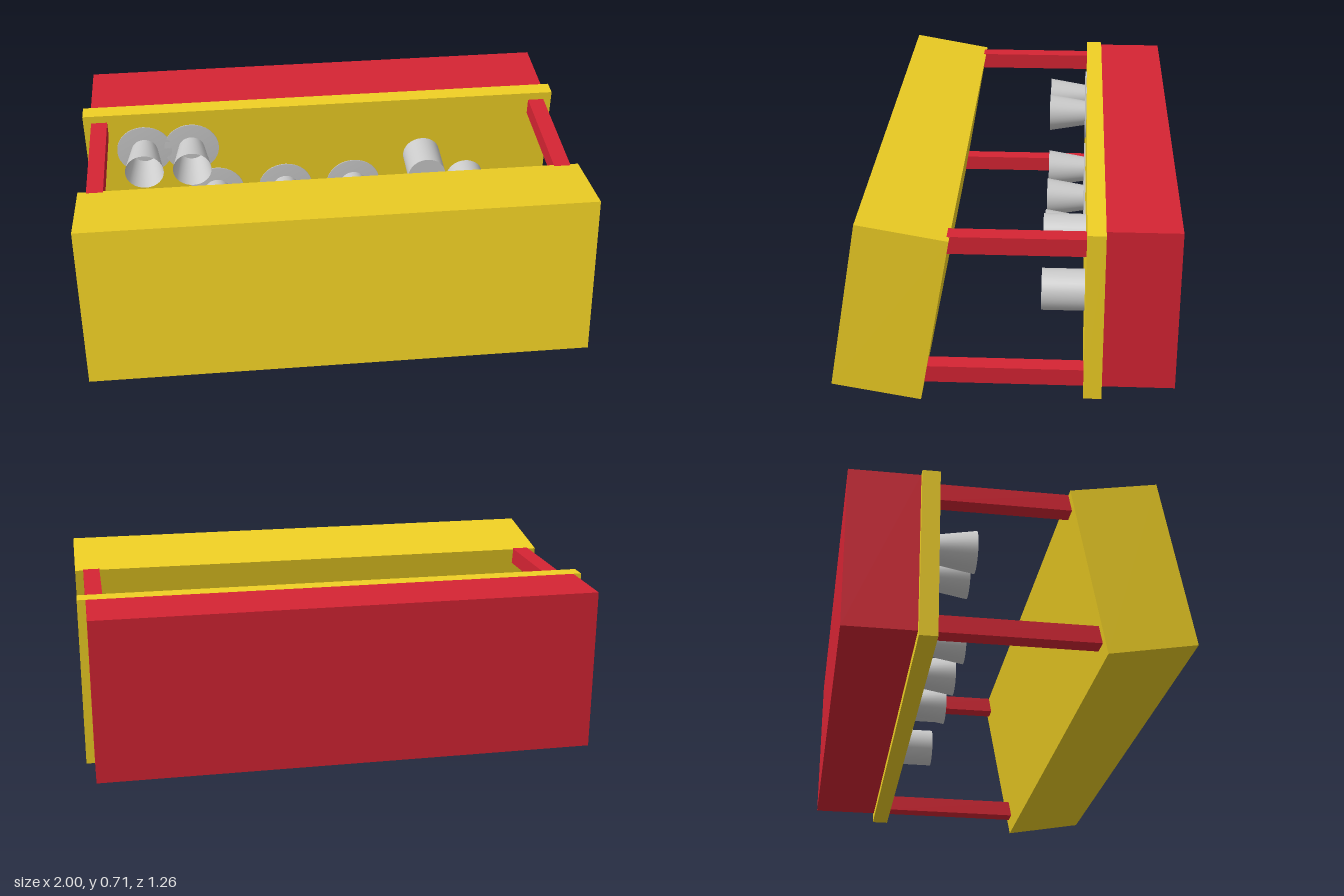
import * as THREE from 'three';

export function createModel() {
  const model = new THREE.Group();
  const yellow = new THREE.MeshStandardMaterial({ color: 0xf0d024 });
  const red = new THREE.MeshStandardMaterial({ color: 0xd62433 });
  const grey = new THREE.MeshStandardMaterial({ color: 0xcccccc, side: THREE.DoubleSide });

  // Box given by its lower and upper corners
  function box(name, material, [x0, y0, z0], [x1, y1, z1]) {
    const mesh = new THREE.Mesh(new THREE.BoxGeometry(x1 - x0, y1 - y0, z1 - z0), material);
    mesh.position.set((x0 + x1) / 2, (y0 + y1) / 2, (z0 + z1) / 2);
    mesh.name = name;
    model.add(mesh);
    return mesh;
  }

  // Rear housing and the panel on its front
  box('rearHousing', red, [-0.967, 0.058, -0.627], [0.967, 0.693, -0.36]);
  box('panel', yellow, [-1, 0.025, -0.36], [1, 0.693, -0.293]);

  // Front block, leaning back by ten degrees
  const block = box('frontBlock', yellow, [-1, 0.026, 0.24], [1, 0.692, 0.573]);
  block.rotation.x = -THREE.MathUtils.degToRad(10);

  // Four rods joining the panel to the front block
  for (const side of [-1, 1]) {
    for (const [y, end] of [[0.0915, 0.32], [0.6265, 0.23]]) {
      const rod = box('rod', red, [-0.0333, y - 0.0333, -0.293], [0.0333, y + 0.0333, end]);
      rod.position.x = side * 0.9335;
    }
  }

  // Turned parts stand out of the panel along +z
  function turned(name, profile, x, y) {
    const points = profile.map(([r, h]) => new THREE.Vector2(r, h));
    const mesh = new THREE.Mesh(new THREE.LatheGeometry(points, 32), grey);
    mesh.rotation.x = Math.PI / 2;
    mesh.position.set(x, y, -0.293);
    mesh.name = name;
    model.add(mesh);
  }

  // Hollow cups widening to the front, each on a thin flange
  const flange = [[0, 0.006], [0.117, 0.006], [0.117, 0]];
  const cup = [[0.055, 0.006], [0.081, 0.163]];
  for (const [x, y] of [[-0.755, 0.51], [-0.555, 0.51], [-0.455, 0.277], [-0.155, 0.277], [0.145, 0.277]]) {
    turned('cupFlange', flange, x, y);
    turned('cup', cup, x, y);
  }

  // Two straight round buttons
  for (const [x, y] of [[0.445, 0.41], [0.645, 0.277]]) {
    const button = new THREE.Mesh(new THREE.CylinderGeometry(0.08, 0.08, 0.163, 32), grey);
    button.rotation.x = Math.PI / 2;
    button.position.set(x, y, -0.2115);
    button.name = 'button';
    model.add(button);
  }

  return model;
}
